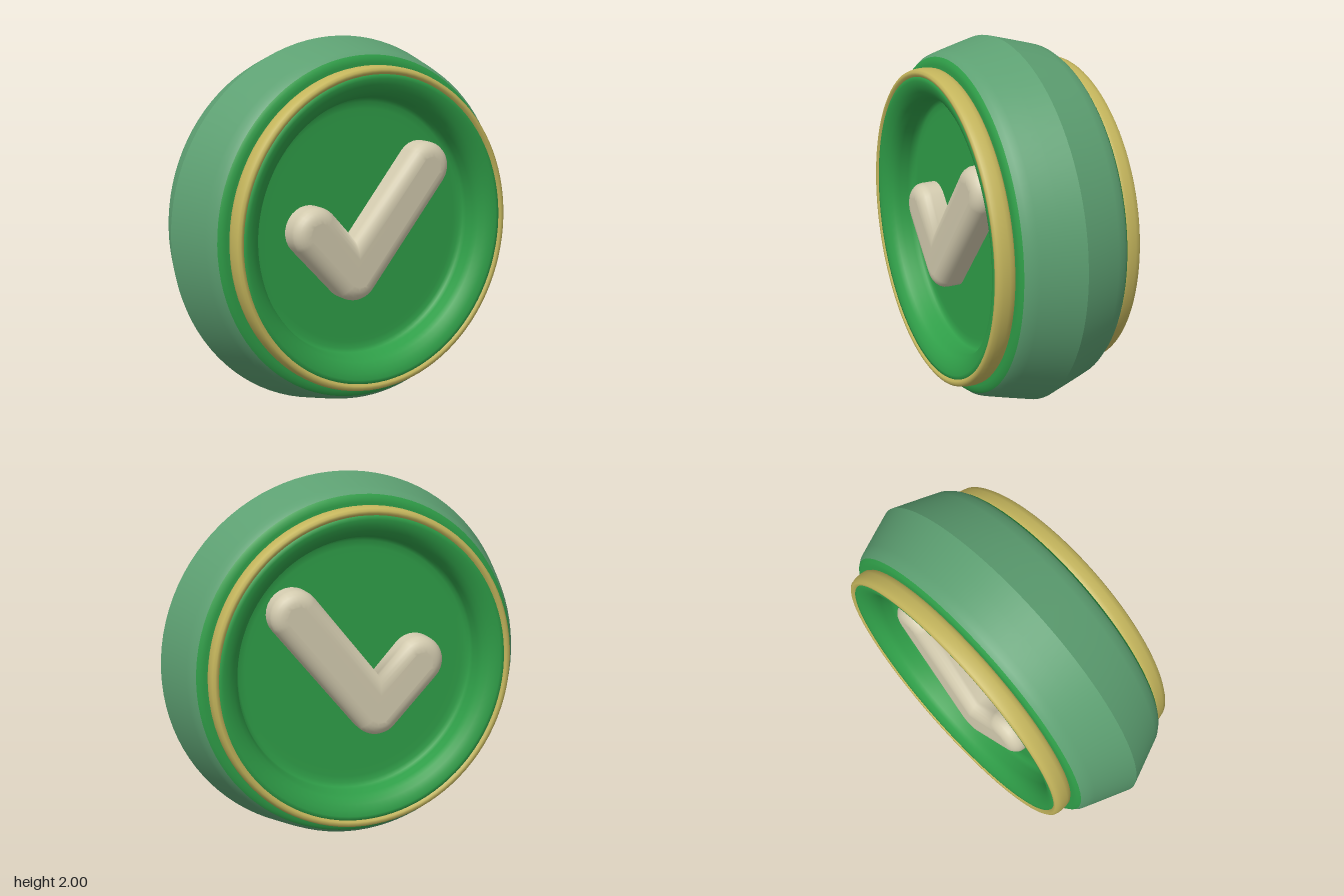
import * as THREE from 'three';
import { mergeVertices } from 'three/addons/utils/BufferGeometryUtils.js';

const mat = (name, color, extra = {}) => {
  const m = new THREE.MeshStandardMaterial({ color, ...extra });
  m.name = name;
  return m;
};

// Profile of [radius, z] pairs turned about the z axis, slightly narrower in x away from the middle
function turned(profile) {
  const g = new THREE.LatheGeometry(profile.map(([r, z]) => new THREE.Vector2(r, z)), 96);
  g.rotateX(Math.PI / 2);
  const p = g.attributes.position;
  for (let i = 0; i < p.count; i++) {
    p.setX(i, p.getX(i) * (1 - 0.035 * Math.min(1, Math.abs(p.getZ(i)) / 0.25)));
  }
  return g;
}

// Rounded tick outline, grown to full size by the bevel
function tickGeometry(flip) {
  const elbow = new THREE.Vector2(-0.09, -0.24);
  const short = new THREE.Vector2(-0.328, 0.01);
  const long = new THREE.Vector2(0.357, 0.306);
  const r = 0.06, bevel = 0.075;
  const a = short.clone().sub(elbow).normalize();
  const b = long.clone().sub(elbow).normalize();
  const inner = a.clone().add(b).multiplyScalar(r / Math.abs(a.cross(b))).add(elbow);
  const pts = [inner];
  const arc = (c, from, to, n) => {
    for (let i = 0; i <= n; i++) {
      const t = from + (to - from) * i / n;
      pts.push(new THREE.Vector2(c.x + r * Math.cos(t), c.y + r * Math.sin(t)));
    }
  };
  const ta = a.angle(), tb = b.angle(), q = Math.PI / 2;
  arc(short, ta - q, ta + q, 14);
  arc(elbow, ta + q, tb - q + 2 * Math.PI, 10);
  arc(long, tb - q, tb + q, 14);
  pts.forEach((p) => { p.x *= flip; });
  let g = new THREE.ExtrudeGeometry(new THREE.Shape(pts), {
    depth: 0.12, bevelEnabled: true, bevelSize: bevel, bevelThickness: 0.07, bevelSegments: 6,
  });
  g.translate(0, 0, 0.17);
  g.deleteAttribute('uv');
  g.deleteAttribute('normal');
  g = mergeVertices(g, 1e-4);
  g.computeVertexNormals();
  return g;
}

export function createModel() {
  const sage = mat('sage green', 0x5da072);
  const green = mat('bright green', 0x2f9e48);
  const gold = mat('gold', 0xc4b55c);
  const cream = mat('cream', 0xd2caae);

  const model = new THREE.Group();
  model.name = 'tickCoin';

  // Front and back halves; the tick is flipped so both sides line up
  for (const side of [1, -1]) {
    const half = new THREE.Group();
    half.name = side > 0 ? 'frontHalf' : 'backHalf';
    const add = (name, geometry, material) => {
      const m = new THREE.Mesh(geometry, material);
      m.name = name;
      half.add(m);
    };

    // Bevelled outer band, peaked at the middle
    add('outerBand', turned([[1, 0], [0.97, 0.12], [0.944, 0.22], [0.932, 0.26], [0.912, 0.285]]), sage);

    // Shoulder between band and ring
    add('shoulder', turned([[0.912, 0.285], [0.895, 0.298], [0.87, 0.302], [0.81, 0.302]]), green);

    // Raised gold ring
    add('ring', turned([
      [0.83, 0.295], [0.845, 0.297], [0.857, 0.312], [0.861, 0.335], [0.86, 0.37],
      [0.853, 0.395], [0.84, 0.404], [0.826, 0.403], [0.815, 0.39],
    ]), gold);

    // Rounded lip falling into the recessed floor
    add('dishedFace', turned([
      [0.825, 0.38], [0.815, 0.396], [0.795, 0.397], [0.765, 0.388], [0.735, 0.37], [0.71, 0.345],
      [0.697, 0.31], [0.692, 0.26], [0.685, 0.235], [0.665, 0.222], [0.63, 0.22], [0.58, 0.22], [0, 0.22],
    ]), green);

    // Puffy tick
    add('tick', tickGeometry(side), cream);

    half.position.y = 1;
    if (side < 0) half.rotation.y = Math.PI;
    model.add(half);
  }
  return model;
}
